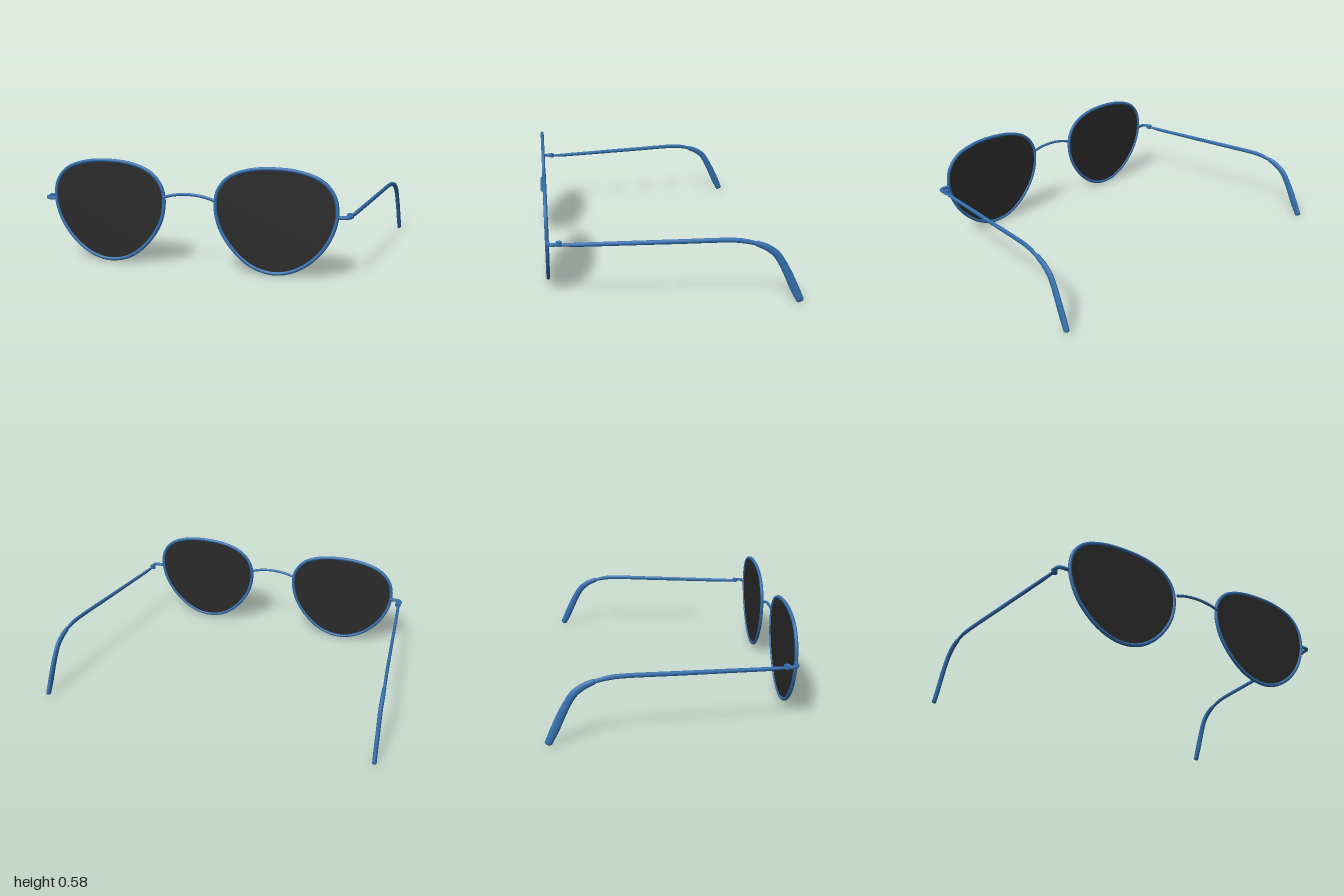
import * as THREE from 'three';

const V = (x, y, z) => new THREE.Vector3(x, y, z);

// Outer outline of one lens rim (x, y)
const OUTLINE = [
  [0.49, 0.588], [0.62, 0.574], [0.73, 0.532], [0.793, 0.46], [0.812, 0.364], [0.794, 0.267],
  [0.746, 0.171], [0.664, 0.083], [0.575, 0.03], [0.484, 0.009], [0.382, 0.024], [0.297, 0.07],
  [0.217, 0.151], [0.161, 0.246], [0.137, 0.36], [0.152, 0.45], [0.21, 0.524], [0.32, 0.572],
];
const RIM_Z = 0.647;
const RIM_R = 0.01;

// Sweeps an ellipse along a curve; rows are [x, y, z, radius in plane, radius sideways]
function sweep(rows, steps = 40, sides = 14) {
  const curve = new THREE.CatmullRomCurve3(rows.map((r) => V(r[0], r[1], r[2])));
  const pos = [], idx = [];
  const ring = (c, up, side, a, b) => {
    for (let j = 0; j < sides; j++) {
      const t = (j / sides) * Math.PI * 2;
      const p = c.clone().addScaledVector(side, b * Math.cos(t)).addScaledVector(up, a * Math.sin(t));
      pos.push(p.x, p.y, p.z);
    }
  };
  // Extra rings at both ends round off the caps
  const stations = [[0, 0.01], [0, 0.7]];
  for (let i = 0; i <= steps; i++) stations.push([i / steps, 1]);
  stations.push([1, 0.7], [1, 0.01]);
  stations.forEach(([t, k], i) => {
    const f = t * (rows.length - 1);
    const n = Math.min(Math.floor(f), rows.length - 2);
    const a = THREE.MathUtils.lerp(rows[n][3], rows[n + 1][3], f - n);
    const b = THREE.MathUtils.lerp(rows[n][4], rows[n + 1][4], f - n);
    const T = curve.getTangent(t);
    const side = V(1, 0, 0).addScaledVector(T, -T.x).normalize();
    const up = T.clone().cross(side).normalize();
    const c = curve.getPoint(t);
    const bulge = Math.sqrt(1 - k * k) * b * 0.7;
    c.addScaledVector(T, i < 2 ? -bulge : bulge);
    ring(c, up, side, a * k, b * k);
  });
  for (let i = 0; i < stations.length - 1; i++) {
    for (let j = 0; j < sides; j++) {
      const a = i * sides + j, b = i * sides + ((j + 1) % sides);
      idx.push(a, b, a + sides, b, b + sides, a + sides);
    }
  }
  const g = new THREE.BufferGeometry();
  g.setAttribute('position', new THREE.Float32BufferAttribute(pos, 3));
  g.setIndex(idx);
  g.computeVertexNormals();
  return g;
}

function tube(points, radius, steps, closed = false) {
  return new THREE.TubeGeometry(new THREE.CatmullRomCurve3(points, closed), steps, radius, 10, closed);
}

export function createModel() {
  const model = new THREE.Group();
  model.name = 'sunglasses';
  const frame = new THREE.MeshStandardMaterial({ color: 0x3470ae });
  frame.name = 'blue frame';
  const dark = new THREE.MeshStandardMaterial({ color: 0x2a2a2a });
  dark.name = 'dark lens';

  const add = (parent, name, geometry, material) => {
    const mesh = new THREE.Mesh(geometry, material);
    mesh.name = name;
    parent.add(mesh);
    return mesh;
  };

  for (const s of [1, -1]) {
    const half = new THREE.Group();
    half.name = s > 0 ? 'leftHalf' : 'rightHalf';
    model.add(half);

    // Rim centreline, inset from the outline by the tube radius
    const cx = 0.475, cy = 0.3;
    const centre = OUTLINE.map(([x, y]) => {
      const d = Math.hypot(x - cx, y - cy);
      const k = (d - RIM_R) / d;
      return V(s * (cx + (x - cx) * k), cy + (y - cy) * k, RIM_Z);
    });
    add(half, 'rim', tube(centre, RIM_R, 96, true), frame);

    // Lens plate set in the rim
    const edge = new THREE.CatmullRomCurve3(centre, true).getPoints(72).slice(0, -1);
    const shape = new THREE.Shape(edge.map((p) => new THREE.Vector2(p.x, p.y)));
    const lens = new THREE.ExtrudeGeometry(shape, { depth: 0.006, bevelEnabled: false });
    lens.translate(0, 0, RIM_Z - 0.003);
    add(half, 'lens', lens, dark);

    // End piece wrapping round from the rim to the hinge
    add(half, 'endPiece', tube([
      V(s * 0.8, 0.345, 0.645), V(s * 0.835, 0.345, 0.645), V(s * 0.857, 0.346, 0.64),
      V(s * 0.868, 0.346, 0.622), V(s * 0.864, 0.346, 0.585),
    ], 0.01, 24), frame);

    // Hinge barrel
    const hinge = add(half, 'hinge', new THREE.CylinderGeometry(0.017, 0.017, 0.022, 18), frame);
    hinge.position.set(s * 0.859, 0.346, 0.588);

    // Slender temple arm
    add(half, 'temple', sweep([
      [s * 0.864, 0.342, 0.575, 0.008, 0.008],
      [s * 0.872, 0.342, 0.5, 0.011, 0.009],
      [s * 0.898, 0.347, 0.25, 0.012, 0.009],
      [s * 0.924, 0.352, 0, 0.0125, 0.009],
      [s * 0.953, 0.357, -0.28, 0.013, 0.009],
      [s * 0.96, 0.352, -0.34, 0.013, 0.009],
      [s * 0.966, 0.339, -0.4, 0.011, 0.008],
    ]), frame);

    // Thicker curved ear tip
    add(half, 'earTip', sweep([
      [s * 0.966, 0.338, -0.405, 0.015, 0.011],
      [s * 0.97, 0.315, -0.459, 0.018, 0.012],
      [s * 0.973, 0.279, -0.507, 0.02, 0.012],
      [s * 0.976, 0.229, -0.541, 0.021, 0.012],
      [s * 0.98, 0.161, -0.576, 0.023, 0.012],
      [s * 0.983, 0.089, -0.609, 0.024, 0.012],
      [s * 0.987, 0.018, -0.643, 0.02, 0.012],
    ]), frame);
  }

  // Arched bridge in front of the rims
  add(model, 'bridge', sweep([
    [-0.146, 0.394, 0.661, 0.008, 0.008], [-0.08, 0.411, 0.661, 0.008, 0.008],
    [0, 0.418, 0.661, 0.008, 0.008],
    [0.08, 0.411, 0.661, 0.008, 0.008], [0.146, 0.394, 0.661, 0.008, 0.008],
  ].map((r) => r), 1, 3).dispose() || tube([
    V(-0.146, 0.394, 0.661), V(-0.08, 0.411, 0.661), V(0, 0.418, 0.661),
    V(0.08, 0.411, 0.661), V(0.146, 0.394, 0.661),
  ], 0.008, 32), frame);

  return model;
}
